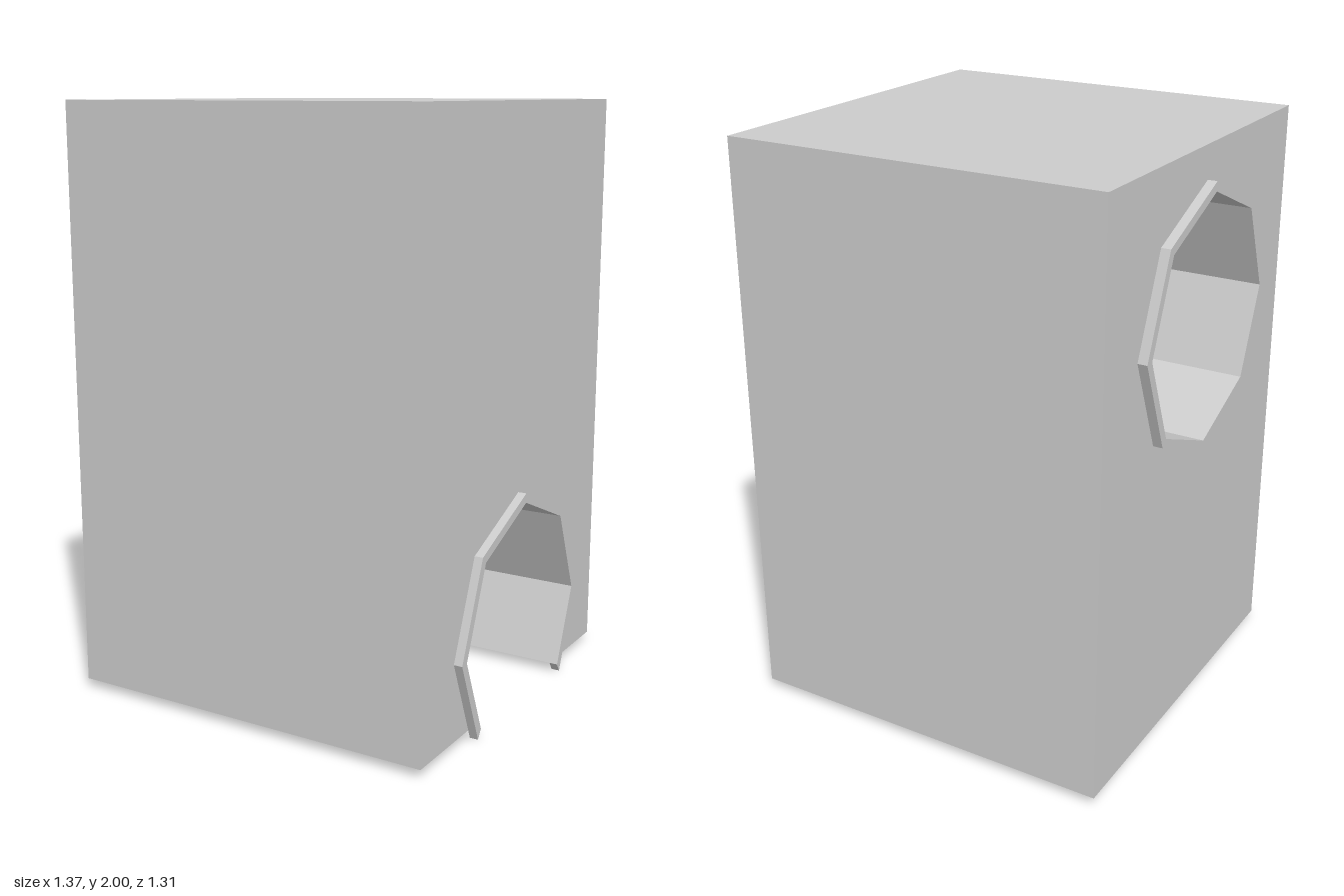
import * as THREE from 'three';

const W = 0.656;              // half width of the block
const BASE = 0.03, TOP = 2;   // underside and top of the block
const R = 0.446, RIN = 0.414; // outer and inner radius of the octagonal collars
const ARCH_Y = 0.291, HOLE_Y = 1.443;
const TUNNEL_END = 0.5;       // both tunnels stop short of the far wall

const material = new THREE.MeshStandardMaterial({ color: 0xcccccc, flatShading: true });

// Octagon corners, counter-clockwise from the side corner
const octagon = (r, cy, count = 8, start = 0) =>
  Array.from({ length: count }, (_, i) => {
    const a = start + (i * Math.PI) / 4;
    return new THREE.Vector2(r * Math.cos(a), cy + r * Math.sin(a));
  });

// Upper octagon corners with both legs cut off at height y
function archPoints(r, y, z) {
  return [new THREE.Vector2(z, y), ...octagon(r, ARCH_Y, 5), new THREE.Vector2(-z, y)];
}

const rectangle = (x, y0, y1) =>
  [[-x, y0], [x, y0], [x, y1], [-x, y1]].map(p => new THREE.Vector2(...p));

// Inward-facing tunnel wall along x
function tunnelWall(points, x0, x1) {
  const v = [];
  for (let i = 0; i < points.length - 1; i++) {
    const p = points[i], q = points[i + 1];
    v.push(x0, p.y, p.x, x0, q.y, q.x, x1, q.y, q.x);
    v.push(x0, p.y, p.x, x1, q.y, q.x, x1, p.y, p.x);
  }
  const g = new THREE.BufferGeometry();
  g.setAttribute('position', new THREE.Float32BufferAttribute(v, 3));
  g.computeVertexNormals();
  return g;
}

export function createModel() {
  const model = new THREE.Group();
  const add = (name, geometry) => {
    const mesh = new THREE.Mesh(geometry, material);
    mesh.name = name;
    model.add(mesh);
  };
  // Flat panel looking towards +x (side 1) or -x (side -1)
  const sidePanel = (shape, side, x) =>
    new THREE.ShapeGeometry(shape).rotateY(side * Math.PI / 2).translate(x, 0, 0);

  const archIn = archPoints(RIN, BASE, 0.305);
  const archOut = archPoints(R, 0, 0.325);
  const holeIn = octagon(RIN, HOLE_Y);
  const holeOut = octagon(R, HOLE_Y);

  // Plain walls and top
  const wall = new THREE.Shape(rectangle(W, BASE, TOP));
  add('frontWall', new THREE.ShapeGeometry(wall).translate(0, 0, W));
  add('backWall', new THREE.ShapeGeometry(wall).rotateY(Math.PI).translate(0, 0, -W));
  add('top', new THREE.PlaneGeometry(2 * W, 2 * W).rotateX(-Math.PI / 2).translate(0, TOP, 0));

  // Left wall with the arched doorway
  const leftWall = new THREE.Shape([
    new THREE.Vector2(W, BASE), new THREE.Vector2(W, TOP),
    new THREE.Vector2(-W, TOP), new THREE.Vector2(-W, BASE),
    ...[...archIn].reverse(),
  ]);
  add('leftWall', sidePanel(leftWall, 1, W));

  // Right wall with the octagonal hole
  const rightWall = new THREE.Shape(rectangle(W, BASE, TOP));
  rightWall.holes.push(new THREE.Path(holeIn));
  add('rightWall', sidePanel(rightWall, -1, -W));

  // Underside with the slot left by the lower tunnel
  const s = archIn[0].x;
  const underside = new THREE.Shape([
    [-W, -W], [W, -W], [W, -s], [-TUNNEL_END, -s],
    [-TUNNEL_END, s], [W, s], [W, W], [-W, W],
  ].map(p => new THREE.Vector2(...p)));
  add('underside', new THREE.ShapeGeometry(underside).rotateX(Math.PI / 2).translate(0, BASE, 0));

  // Tunnels with their end walls
  add('lowerTunnel', tunnelWall(archIn, -TUNNEL_END, W));
  add('lowerTunnelEnd', sidePanel(new THREE.Shape(archIn), 1, -TUNNEL_END));
  add('upperTunnel', tunnelWall([...holeIn, holeIn[0]], -W, TUNNEL_END));
  add('upperTunnelEnd', sidePanel(new THREE.Shape(holeIn), -1, TUNNEL_END));

  // Raised collars around the openings
  const archCollar = new THREE.Shape([...archOut, ...[...archIn].reverse()]);
  add('archCollar', new THREE.ExtrudeGeometry(archCollar, { depth: 0.029, bevelEnabled: false })
    .rotateY(Math.PI / 2).translate(W, 0, 0));
  const holeCollar = new THREE.Shape(holeOut);
  holeCollar.holes.push(new THREE.Path(holeIn));
  add('holeCollar', new THREE.ExtrudeGeometry(holeCollar, { depth: 0.032, bevelEnabled: false })
    .rotateY(-Math.PI / 2).translate(-W, 0, 0));

  return model;
}
